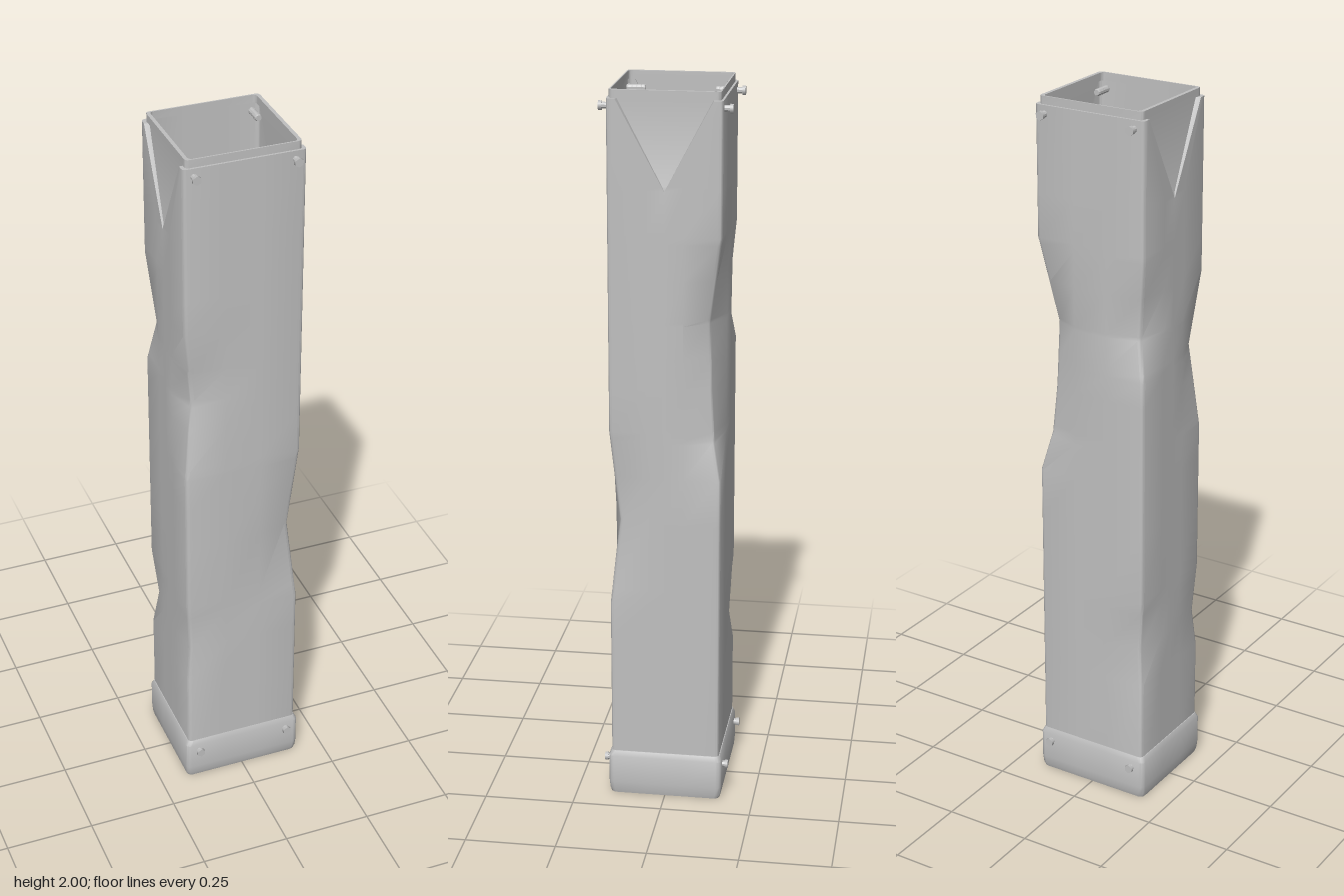
import * as THREE from 'three';
import { toCreasedNormals } from 'three/addons/utils/BufferGeometryUtils.js';

const NOTCH_BASE = 1.74, TUBE_TOP = 1.978;

// corner dents: signs of the corner, inward push, and [height, strength] points
const CORNERS = [
  { sx: 1, sz: 1, dx: 0.022, dz: 0.024, keys: [[0.58, 0], [0.82, 1], [1.08, 0]] },
  { sx: -1, sz: 1, dx: 0.024, dz: 0.022, keys: [[0.36, 0], [0.47, 0.4], [0.62, 0], [1.05, 0], [1.29, 1], [1.5, 0]] },
  { sx: -1, sz: -1, dx: 0.022, dz: 0.02, keys: [[0.36, 0], [0.47, 0.7], [0.62, 0], [1.27, 0], [1.39, 1], [1.6, 0]] },
  { sx: 1, sz: -1, dx: 0.042, dz: 0.034, keys: [[0.95, 0], [1.06, 0.6], [1.2, 0.85], [1.38, 1], [1.62, 0]] },
];

function strength(keys, y) {
  for (let i = 1; i < keys.length; i++) {
    const [y0, s0] = keys[i - 1], [y1, s1] = keys[i];
    if (y >= y0 && y <= y1) return s0 + (s1 - s0) * (y - y0) / (y1 - y0);
  }
  return 0;
}

// rounded rectangle at height y, with dented corners and pressed-in side triangles
function ring(y, hx, hz, { r = 0.01, dents = true, notch = 0 } = {}) {
  const pts = [];
  const t = THREE.MathUtils.clamp((y - NOTCH_BASE) / (TUBE_TOP - NOTCH_BASE), 0, 1);
  const w = 0.128 * t, fixed = Math.max(0.05, w + 0.002);
  const depth = notch * (0.35 * Math.min(1, t / 0.05) + 0.65 * t);
  CORNERS.forEach((c, k) => {
    const s = dents ? strength(c.keys, y) : 0;
    for (let i = 0; i <= 3; i++) {
      const a = (k + i / 3) * Math.PI / 2;
      pts.push([
        c.sx * (hx - r - s * c.dx) + r * Math.cos(a), y,
        c.sz * (hz - r - s * c.dz) + r * Math.sin(a),
      ]);
    }
    if (k % 2 === 0) {
      // front and back walls
      for (const u of [0.05, -0.05]) pts.push([c.sx * u, y, c.sz * hz]);
    } else {
      // side walls, where the middle columns follow the triangle
      const x = c.sx * hx, xi = c.sx * (hx - depth);
      for (const [px, z] of [[x, fixed], [x, w], [xi, w * 0.98], [xi, -w * 0.98], [x, -w], [x, -fixed]])
        pts.push([px, y, c.sz * z]);
    }
  });
  return pts;
}

// closed shell through a loop of rings
function loft(rings) {
  const n = rings[0].length, m = rings.length, index = [];
  const v = rings.flat().map(p => new THREE.Vector3(...p));
  const tri = (a, b, c) => {
    if (new THREE.Triangle(v[a], v[b], v[c]).getArea() > 1e-8) index.push(a, b, c);
  };
  for (let j = 0; j < m; j++) for (let i = 0; i < n; i++) {
    const i2 = (i + 1) % n, j2 = (j + 1) % m;
    const a = j * n + i, b = j * n + i2, c = j2 * n + i, d = j2 * n + i2;
    tri(a, c, b);
    tri(b, c, d);
  }
  const g = new THREE.BufferGeometry().setFromPoints(v);
  g.setIndex(index);
  return toCreasedNormals(g, 0.65);
}

export function createModel() {
  const model = new THREE.Group();
  model.name = 'dentedDuct';
  const metal = new THREE.MeshStandardMaterial({ color: 0xc0c0c0 });
  metal.name = 'light grey metal';
  const add = (parent, geometry, name) => {
    const mesh = new THREE.Mesh(geometry, metal);
    mesh.name = name;
    parent.add(mesh);
    return mesh;
  };

  // hollow tube: outside going up, lipped rim, inside going down
  const dentHeights = CORNERS.flatMap(c => c.keys.map(k => k[0]));
  const heights = [...new Set([0.03, ...dentHeights, NOTCH_BASE, NOTCH_BASE + 0.012, TUBE_TOP])]
    .sort((a, b) => a - b);
  const outer = heights.map(y => ring(y, 0.165, 0.152, { notch: 0.014 }));
  const inner = heights.map(y => ring(y, 0.155, 0.146, { notch: 0.007 })).reverse();
  const rim = [
    ring(TUBE_TOP, 0.155, 0.146), ring(2, 0.155, 0.146),
    ring(2, 0.145, 0.142), ring(TUBE_TOP, 0.145, 0.142),
  ];
  add(model, loft([...outer, ...rim, ...inner]), 'tube');

  // collar around the foot, tucked in at the bottom
  const collar = [
    [0, 0.169, 0.154], [0.012, 0.172, 0.158], [0.035, 0.174, 0.16], [0.115, 0.174, 0.16],
    [0.13, 0.167, 0.154], [0.13, 0.147, 0.143], [0, 0.147, 0.143],
  ].map(([y, hx, hz]) => ring(y, hx, hz, { r: 0.015, dents: false }));
  add(model, loft(collar), 'collar');

  // bolts through the front and back walls
  const head = new THREE.CylinderGeometry(0.0125, 0.0125, 0.009, 6).rotateX(Math.PI / 2);
  const profile = [[0, 0.095], [0.008, 0.095]];
  for (let i = 0; i < 4; i++) {
    const z = 0.1 + i * 0.013;
    profile.push([0.01, z], [0.01, z + 0.004], [0.009, z + 0.006]);
  }
  profile.push([0.009, 0.168]);
  const shaft = toCreasedNormals(
    new THREE.LatheGeometry(profile.map(p => new THREE.Vector2(...p)), 10).rotateX(Math.PI / 2), 0.65);
  for (const y of [0.095, 1.955]) for (const side of [1, -1]) for (const x of [-0.135, 0.135]) {
    const bolt = new THREE.Group();
    bolt.name = 'bolt';
    add(bolt, head, 'boltHead').position.z = 0.171;
    add(bolt, shaft, 'boltShaft');
    bolt.position.set(x, y, 0);
    if (side < 0) bolt.rotation.y = Math.PI;
    model.add(bolt);
  }
  return model;
}
